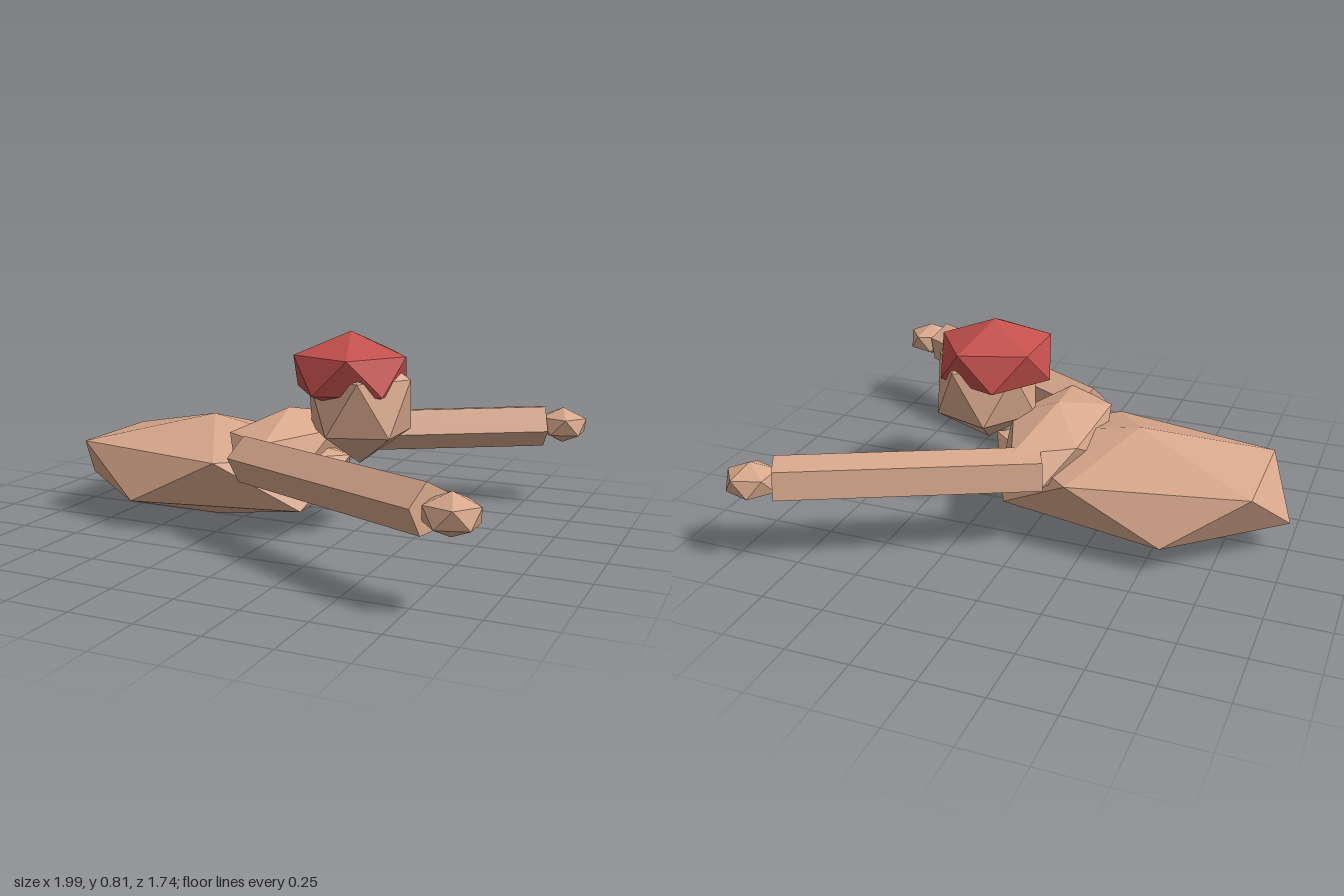
import * as THREE from 'three';
import { ConvexGeometry } from 'three/addons/geometries/ConvexGeometry.js';

const skin = new THREE.MeshStandardMaterial({ color: 0xd8a88c, flatShading: true });
skin.name = 'skin';
const red = new THREE.MeshStandardMaterial({ color: 0xc4504d, flatShading: true });
red.name = 'red';

// Twenty-sided ball standing on a corner, stretched to the given radii
function gem(name, material, [rx, ry, rz], [x, y, z]) {
  const points = [new THREE.Vector3(0, ry, 0), new THREE.Vector3(0, -ry, 0)];
  const h = 1 / Math.sqrt(5), ring = 2 * h;
  for (let i = 0; i < 5; i++) {
    const a = i * Math.PI * 2 / 5;
    const px = ring * Math.cos(a) * rx, pz = ring * Math.sin(a) * rz;
    points.push(new THREE.Vector3(px, h * ry, pz)); // upper ring
    points.push(new THREE.Vector3(-px, -h * ry, -pz)); // lower ring
  }
  const mesh = new THREE.Mesh(new ConvexGeometry(points), material);
  mesh.name = name;
  mesh.position.set(x, y, z);
  return mesh;
}

// Five-sided bar reaching forward and outward; side is 1 for +z, -1 for -z
function arm(name, side) {
  const yaw = THREE.MathUtils.degToRad(26.8);
  const roll = Math.PI / 5 - side * yaw;
  const geometry = new THREE.CylinderGeometry(0.094, 0.094, 1, 5, 1, false, -roll);
  geometry.rotateZ(-Math.PI / 2);
  const mesh = new THREE.Mesh(geometry, skin);
  mesh.name = name;
  mesh.position.set(0.368, 0.339, side * 0.53);
  mesh.rotation.set(0, -side * yaw, 0.019, 'YXZ');
  return mesh;
}

export function createModel() {
  const model = new THREE.Group();
  model.name = 'figure';

  // Torso and shoulders
  model.add(gem('body', skin, [0.686, 0.215, 0.429], [-0.385, 0.216, 0]));
  model.add(gem('shoulders', skin, [0.216, 0.14, 0.418], [-0.04, 0.345, 0]));

  // Head and cap
  model.add(gem('head', skin, [0.232, 0.24, 0.232], [0.267, 0.523, 0]));
  model.add(gem('cap', red, [0.256, 0.16, 0.256], [0.225, 0.647, 0]));

  // Arms and hands
  for (const side of [1, -1]) {
    const label = side > 0 ? 'front' : 'back';
    model.add(arm(label + 'Arm', side));
    model.add(gem(label + 'Hand', skin, [0.112, 0.076, 0.106], [0.895, 0.348, side * 0.78]));
  }
  return model;
}
